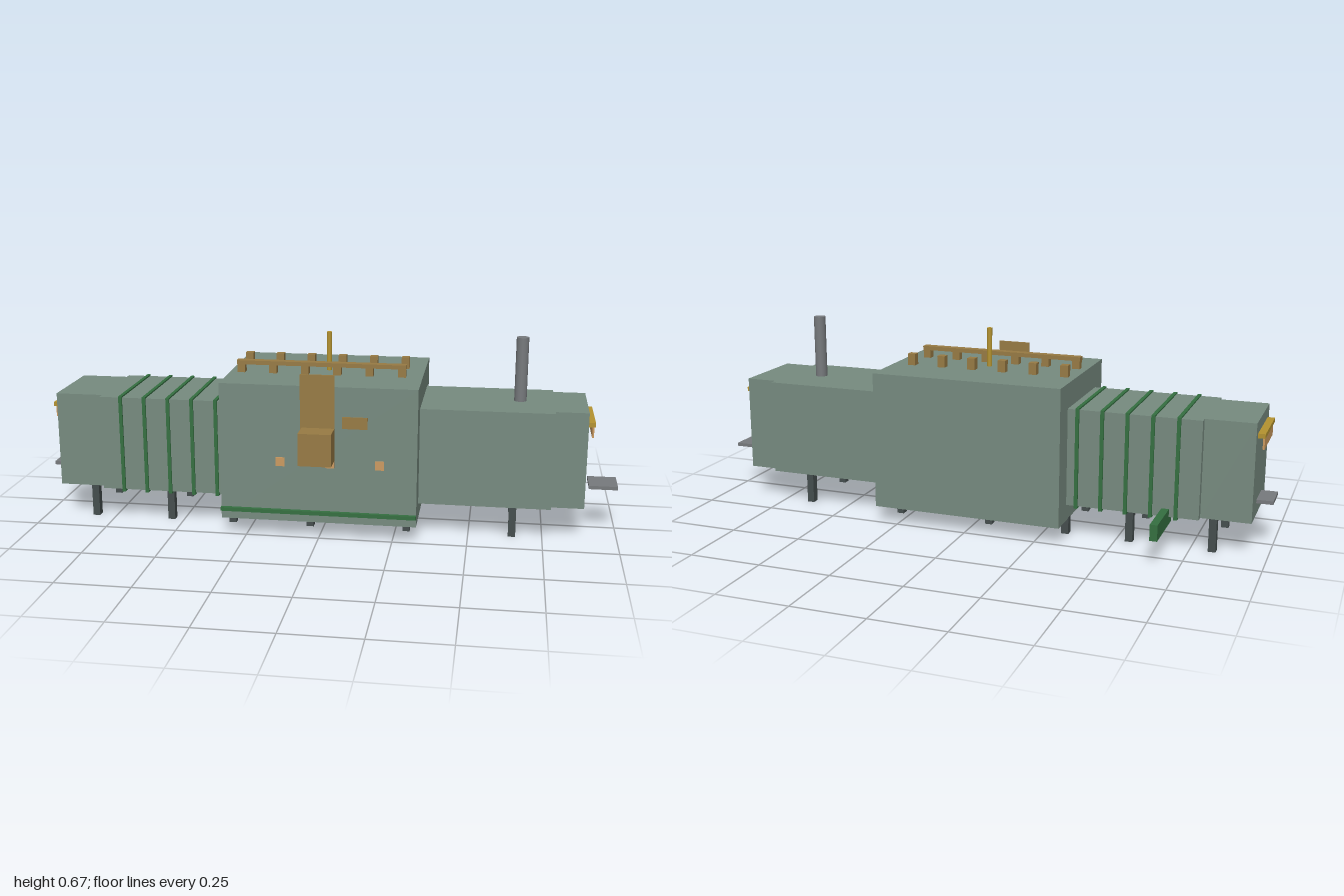
import * as THREE from 'three';

const mat = (name, color) => {
  const m = new THREE.MeshStandardMaterial({ color });
  m.name = name;
  return m;
};

export function createModel() {
  const model = new THREE.Group();
  model.name = 'module';
  const hull = mat('sage hull', 0x768a7f);
  const green = mat('pipe green', 0x346f40);
  const brown = mat('ochre brown', 0x977a43);
  const gold = mat('gold', 0xb3922f);
  const orange = mat('light orange', 0xcb9a60);
  const grey = mat('steel grey', 0x76797c);
  const dark = mat('dark leg', 0x444d4d);

  // Box from its minimum and maximum on each axis
  const box = (name, material, [x0, x1], [y0, y1], [z0, z1]) => {
    const mesh = new THREE.Mesh(new THREE.BoxGeometry(x1 - x0, y1 - y0, z1 - z0), material);
    mesh.position.set((x0 + x1) / 2, (y0 + y1) / 2, (z0 + z1) / 2);
    mesh.name = name;
    model.add(mesh);
  };
  const around = (c, size) => [c - size / 2, c + size / 2];
  const pole = (name, material, r, x, y0, y1) => {
    const mesh = new THREE.Mesh(new THREE.CylinderGeometry(r, r, y1 - y0, 16), material);
    mesh.position.set(x, (y0 + y1) / 2, 0);
    mesh.name = name;
    model.add(mesh);
  };

  // Hull: tall centre, two wings and narrower end blocks
  const wingY = [0.113, 0.445];
  box('centreHull', hull, [-0.335, 0.33], [0.057, 0.53], [-0.25, 0.25]);
  box('ribbedWing', hull, [-0.78, -0.335], wingY, [-0.166, 0.166]);
  box('plainWing', hull, [0.33, 0.775], wingY, [-0.166, 0.166]);
  box('ribbedEnd', hull, [-0.945, -0.78], wingY, [-0.14, 0.14]);
  box('plainEnd', hull, [0.775, 0.885], wingY, [-0.14, 0.14]);

  // Bands wrapped around the ribbed wing
  for (let i = 0; i < 5; i++)
    box('band', green, around(-0.705 + i * 0.084, 0.012), [0.106, 0.45], [-0.173, 0.172]);

  // Legs in pairs
  for (const x of [-0.822, -0.545, -0.323, -0.047, 0.288, 0.648])
    for (const s of [-1, 1])
      box('leg', dark, around(x, 0.025), [0, Math.abs(x) < 0.33 ? 0.06 : 0.115], around(s * 0.125, 0.027));

  // Roof studs, rail and poles
  for (let i = 0; i < 6; i++)
    for (const s of [-1, 1])
      box('roofStud', brown, around(-0.295 + i * 0.111, 0.027), [0.53, 0.57], around(s * 0.069, 0.027));
  box('roofRail', brown, [-0.31, 0.275], [0.558, 0.572], [0.055, 0.083]);
  pole('antenna', gold, 0.009, 0, 0.53, 0.665);
  pole('chimney', grey, 0.021, 0.66, 0.445, 0.665);

  // Front fittings
  box('frontPanel', brown, [-0.06, 0.055], [0.28, 0.57], [0.25, 0.257]);
  box('frontCabinet', brown, [-0.055, 0.055], [0.28, 0.39], [0.25, 0.334]);
  box('frontPlate', brown, [0.08, 0.165], [0.39, 0.43], [0.25, 0.255]);
  for (const x of [-0.129, 0.039, 0.206])
    box('frontTile', orange, around(x, 0.03), [0.252, 0.282], [0.25, 0.255]);
  box('sillPipe', green, [-0.335, 0.33], [0.086, 0.099], [0.25, 0.264]);

  // Rear duct under the ribbed wing
  box('rearDuct', green, around(-0.67, 0.025), [0.086, 0.14], [-0.333, -0.125]);

  // Awning, hanging panel and step at each end
  for (const [s, end] of [[-1, 0.945], [1, 0.885]]) {
    const span = (a, b) => (s > 0 ? [a, b] : [-b, -a]);
    box('awning', gold, span(end, end + 0.024), [0.39, 0.405], [-0.111, 0.111]);
    box('awningPanel', orange, span(end + 0.015, end + 0.021), [0.35, 0.391], [-0.097, 0.097]);
    box('step', grey, span(0.903, 1), [0.156, 0.168], [-0.055, 0.055]);
  }
  return model;
}
